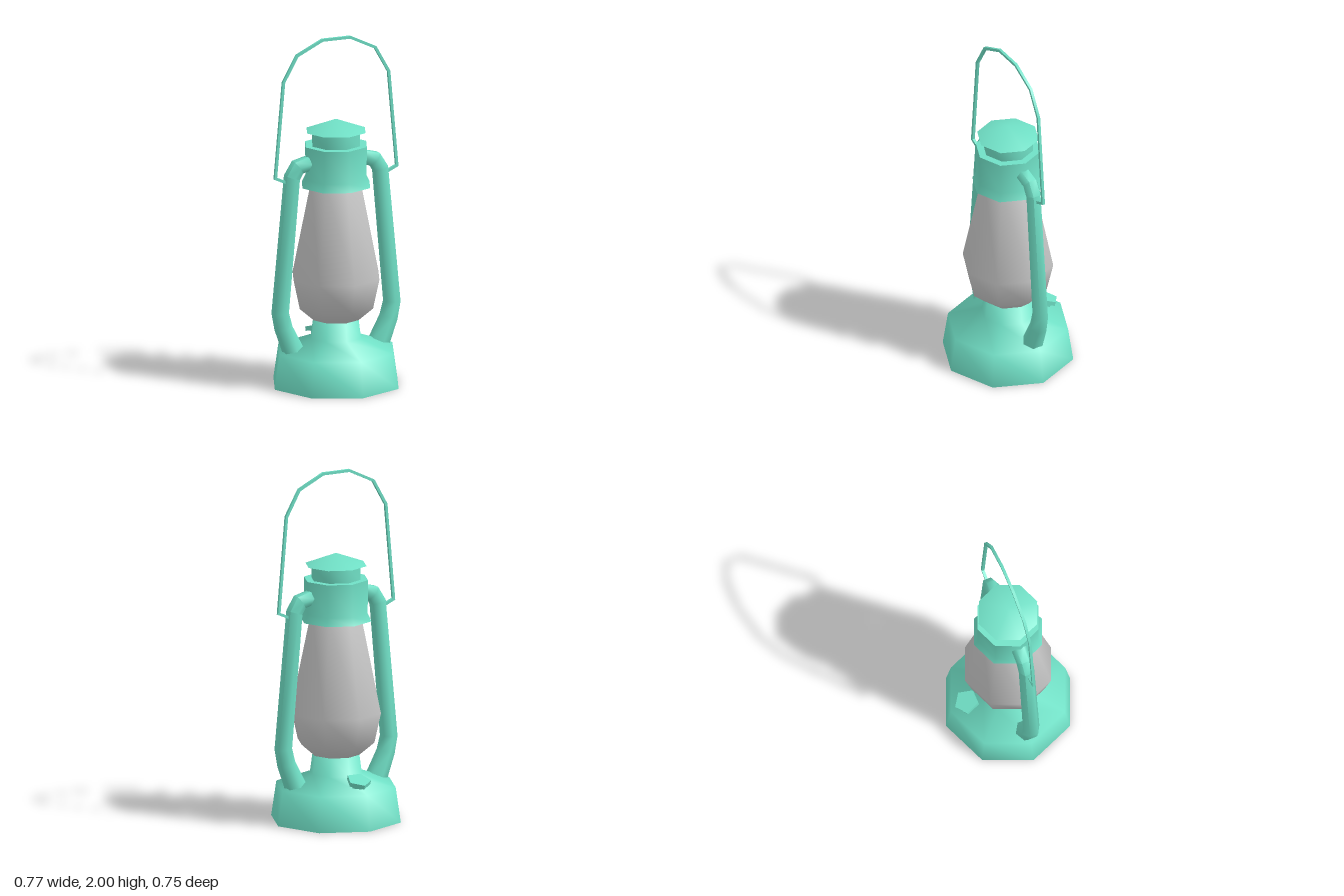
import * as THREE from 'three';
import { toCreasedNormals } from 'three/addons/utils/BufferGeometryUtils.js';

const teal = new THREE.MeshStandardMaterial({ color: 0x70e0c6 });
const grey = new THREE.MeshStandardMaterial({ color: 0xcccccc, side: THREE.DoubleSide });

function addMesh(group, name, geometry, material, crease = 1.1) {
  const mesh = new THREE.Mesh(toCreasedNormals(geometry, crease), material);
  mesh.name = name;
  group.add(mesh);
  return mesh;
}

// Eight-sided turned part from [radius, height] pairs, listed bottom to top
function turned(profile) {
  return new THREE.LatheGeometry(profile.map(([r, y]) => new THREE.Vector2(r, y)), 8);
}

// Capped rod along a path in the z = 0 plane; each point is [x, y, radius]
function rod(path, sides, turn = 0) {
  const positions = [], index = [];
  const at = (i) => new THREE.Vector2(path[i][0], path[i][1]);
  const last = path.length - 1;
  path.forEach(([x, y, r], i) => {
    const before = at(i).sub(at(Math.max(i - 1, 0))).normalize();
    const after = at(Math.min(i + 1, last)).sub(at(i)).normalize();
    const t = before.clone().add(after).normalize();
    // widen at bends so the rod keeps its thickness
    const miter = 1 / Math.max(0.6, t.dot(i < last ? after : before));
    for (let j = 0; j < sides; j++) {
      const a = turn + (j / sides) * Math.PI * 2;
      const n = Math.cos(a) * r * miter;
      positions.push(x + t.y * n, y - t.x * n, Math.sin(a) * r);
    }
  });
  for (let i = 0; i < last; i++) {
    for (let j = 0; j < sides; j++) {
      const k = (j + 1) % sides;
      const a = i * sides + j, b = i * sides + k;
      index.push(a, a + sides, b, b, a + sides, b + sides);
    }
  }
  for (let j = 1; j < sides - 1; j++) {
    const e = last * sides;
    index.push(0, j, j + 1, e, e + j + 1, e + j);
  }
  const geometry = new THREE.BufferGeometry();
  geometry.setAttribute('position', new THREE.Float32BufferAttribute(positions, 3));
  geometry.setIndex(index);
  return geometry;
}

export function createModel() {
  const lantern = new THREE.Group();
  lantern.name = 'lantern';

  // Fuel tank with burner neck
  addMesh(lantern, 'fuelTank', turned([
    [0, 0], [0.375, 0], [0.345, 0.2], [0.15, 0.27], [0.135, 0.38], [0, 0.38],
  ]), teal, 1.45);

  // Glass globe
  addMesh(lantern, 'globe', turned([
    [0.135, 0.375], [0.222, 0.45], [0.26, 0.62], [0.15, 1.15],
  ]), grey);

  // Flared collar above the globe
  addMesh(lantern, 'collar', turned([
    [0, 1.145], [0.205, 1.145], [0.183, 1.19], [0.185, 1.38], [0, 1.38],
  ]), teal);

  // Chimney and its conical hood
  addMesh(lantern, 'chimney', turned([[0.143, 1.37], [0.143, 1.462]]), teal);
  addMesh(lantern, 'hood', turned([[0, 1.46], [0.177, 1.46], [0, 1.527]]), teal);

  // Side arms joining tank and collar
  const arm = [
    [0.263, 0.215, 0.062], [0.322, 0.35, 0.052], [0.342, 0.44, 0.049],
    [0.27, 1.215, 0.046], [0.235, 1.272, 0.045], [0.165, 1.29, 0.045],
  ];
  for (const [name, side] of [['leftArm', 1], ['rightArm', -1]]) {
    const path = arm.map(([x, y, r]) => [side * x, y, r]);
    addMesh(lantern, name, rod(path, 6, Math.PI / 6), teal);
  }

  // Wire carrying handle
  const half = [
    [0.295, 1.185], [0.372, 1.22], [0.322, 1.77], [0.24, 1.915], [0.085, 1.99],
  ].map(([x, y]) => [x, y, 0.011]);
  const mirrored = half.map(([x, y, r]) => [-x, y, r]).reverse();
  addMesh(lantern, 'handle', rod([...half, ...mirrored], 4, Math.PI / 4), teal);

  // Filler cap lying on the slope at the back of the tank
  const filler = new THREE.Group();
  filler.name = 'fillerCap';
  const lid = addMesh(filler, 'fillerLid', new THREE.CylinderGeometry(0.07, 0.07, 0.024, 5), teal, 0.5);
  lid.position.y = 0.03;
  addMesh(filler, 'fillerStem', new THREE.CylinderGeometry(0.042, 0.042, 0.05, 5), teal);
  filler.position.set(0, 0.235, -0.24);
  filler.rotation.order = 'YXZ';
  filler.rotation.set(0.33, Math.PI, 0);
  lantern.add(filler);

  return lantern;
}
